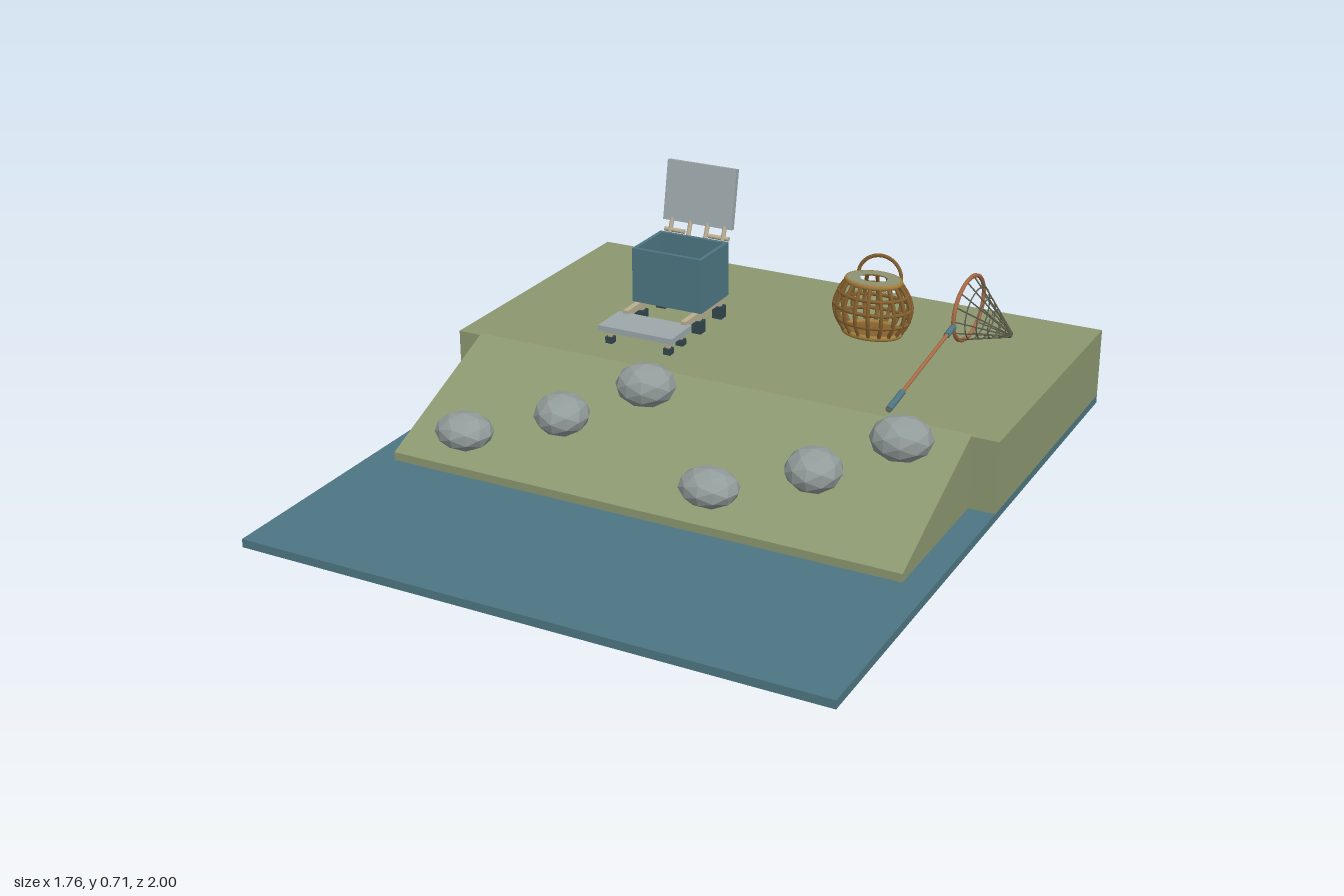
import * as THREE from 'three';

const mat = (name, color, opt = {}) => {
  const m = new THREE.MeshStandardMaterial({ color, ...opt });
  m.name = name;
  return m;
};
const V = (x, y, z) => new THREE.Vector3(x, y, z);

export function createModel() {
  const root = new THREE.Group();
  root.name = 'fishingSpot';
  const blue = mat('water blue', 0x4e7683);
  const grass = mat('grass green', 0x8c9870);
  const stone = mat('stone grey', 0x929c9a, { flatShading: true });
  const pale = mat('pale grey', 0x9da8ab);
  const dark = mat('dark slate', 0x34474e);
  const cream = mat('cream metal', 0xb9ae92);
  const wood = mat('red wood', 0xa86c46);
  const cane = mat('cane brown', 0x86612f);
  const tan = mat('light cane', 0xa5803f);
  const cord = mat('net cord', 0x5c5c4c);

  const add = (parent, name, geo, m, x = 0, y = 0, z = 0) => {
    const mesh = new THREE.Mesh(geo, m);
    mesh.name = name;
    mesh.position.set(x, y, z);
    parent.add(mesh);
    return mesh;
  };
  // box given by its limits
  const box = (parent, name, m, x0, x1, y0, y1, z0, z1) =>
    add(parent, name, new THREE.BoxGeometry(x1 - x0, y1 - y0, z1 - z0), m,
      (x0 + x1) / 2, (y0 + y1) / 2, (z0 + z1) / 2);
  // straight round rod between two points
  const rod = (parent, name, m, a, b, r) => {
    const mesh = add(parent, name, new THREE.CylinderGeometry(r, r, a.distanceTo(b), 10), m);
    mesh.position.copy(a).add(b).multiplyScalar(0.5);
    mesh.quaternion.setFromUnitVectors(V(0, 1, 0), b.clone().sub(a).normalize());
  };
  const tube = (parent, name, m, pts, r, closed = false, seg = 32) =>
    add(parent, name, new THREE.TubeGeometry(
      new THREE.CatmullRomCurve3(pts, closed), seg, r, 6, closed), m);
  const around = (n, f) => Array.from({ length: n }, (_, i) => f(i / n * Math.PI * 2));

  // ground: water sheet, flat bank and sloping shore
  box(root, 'water', blue, -0.88, 0.88, 0, 0.025, -1, 1);
  box(root, 'bank', grass, -0.88, 0.88, 0.025, 0.245, -1, -0.08);
  const profile = new THREE.Shape([[0.08, 0.025], [0.08, 0.252], [-0.4, 0.05], [-0.4, 0.025]]
    .map(p => new THREE.Vector2(...p)));
  const slope = add(root, 'shoreSlope',
    new THREE.ExtrudeGeometry(profile, { depth: 1.6, bevelEnabled: false }), grass, -0.8, 0, 0);
  slope.rotation.y = Math.PI / 2;

  // two matching rows of rocks
  for (const dx of [0, 0.8]) {
    [[-0.615, 0.12, 0.305, 0.09, 0.056, 0.078], [-0.355, 0.18, 0.185, 0.083, 0.063, 0.086],
      [-0.165, 0.248, 0.025, 0.091, 0.066, 0.077]].forEach(([x, y, z, a, b, c], i) => {
      const rock = add(root, 'rock', new THREE.IcosahedronGeometry(1, 1), stone, x + dx, y, z);
      rock.scale.set(a, b, c);
      rock.rotation.y = i * 0.15;
    });
  }

  // seat box: open body on feet
  const seat = new THREE.Group();
  seat.name = 'seatBox';
  root.add(seat);
  const [L, R, B, F] = [-0.44, -0.2, -0.575, -0.39];
  const w = 0.012;
  box(seat, 'boxFloor', blue, L, R, 0.315, 0.33, B, F);
  box(seat, 'boxFront', blue, L, R, 0.33, 0.49, F - w, F);
  box(seat, 'boxBack', blue, L, R, 0.33, 0.49, B, B + w);
  box(seat, 'boxLeft', blue, R - w, R, 0.33, 0.49, B + w, F - w);
  box(seat, 'boxRight', blue, L, L + w, 0.33, 0.49, B + w, F - w);
  for (const x of [-0.42, -0.22]) {
    box(seat, 'footRail', cream, x - 0.009, x + 0.009, 0.295, 0.315, B, -0.31);
    for (const z of [-0.55, -0.41]) {
      box(seat, 'foot', dark, x - 0.016, x + 0.016, 0.245, 0.285, z - 0.016, z + 0.016);
      box(seat, 'footPost', cream, x - 0.008, x + 0.008, 0.28, 0.316, z - 0.008, z + 0.008);
    }
    for (const z of [-0.295, -0.215]) {
      box(seat, 'trayFoot', dark, x - 0.012, x + 0.012, 0.245, 0.265, z - 0.012, z + 0.012);
      box(seat, 'trayPost', cream, x - 0.006, x + 0.006, 0.262, 0.29, z - 0.006, z + 0.006);
    }
  }
  box(seat, 'footTray', pale, -0.45, -0.197, 0.286, 0.304, -0.322, -0.192);

  // raised lid with hinges
  const lid = new THREE.Group();
  lid.name = 'lid';
  lid.position.set(-0.32, 0.522, -0.6);
  lid.rotation.x = -0.18;
  seat.add(lid);
  box(lid, 'lidPanel', pale, -0.12, 0.12, 0, 0.19, -0.01, 0.008);
  box(lid, 'lidBack', dark, -0.11, 0.11, 0.008, 0.182, -0.022, -0.01);
  for (const x of [-0.41, -0.345, -0.285, -0.225]) {
    rod(seat, 'hinge', cream, V(x, 0.48, -0.578), V(x, 0.538, -0.603), 0.007);
  }
  for (const x of [-0.395, -0.24]) {
    rod(seat, 'hingePin', cream, V(x - 0.035, 0.495, -0.586), V(x + 0.035, 0.495, -0.586), 0.007);
  }

  // oval woven basket
  const basket = new THREE.Group();
  basket.name = 'basket';
  basket.position.set(0.26, 0, -0.645);
  basket.scale.z = 0.74;
  root.add(basket);
  const rings = [[0.257, 0.092], [0.297, 0.116], [0.34, 0.123], [0.382, 0.11], [0.42, 0.085]];
  rings.forEach(([y, r], i) => {
    const ring = add(basket, 'basketRing',
      new THREE.TorusGeometry(r, i % 4 ? 0.006 : 0.009, 6, 40), i % 4 ? cane : tan, 0, y, 0);
    ring.rotation.x = Math.PI / 2;
  });
  around(18, a => tube(basket, 'basketRib', cane,
    rings.map(([y, r]) => V(Math.cos(a) * r, y, Math.sin(a) * r)), 0.0065, false, 12));
  add(basket, 'basketFloor', new THREE.CylinderGeometry(0.092, 0.092, 0.008, 32), cane, 0, 0.253, 0);
  const top = add(basket, 'basketLid', new THREE.RingGeometry(0.043, 0.085, 40),
    mat('lid olive', 0x8e9272, { side: THREE.DoubleSide }), 0, 0.428, 0);
  top.rotation.x = -Math.PI / 2;
  const arc = Array.from({ length: 9 }, (_, i) => {
    const a = i / 8 * Math.PI;
    return V(Math.cos(a) * 0.072, 0.415 + Math.sin(a) * 0.067, -0.062 - Math.sin(a) * 0.016);
  });
  tube(basket, 'basketHandle', cane, arc, 0.006);

  // landing net: pole, grip, collar, hoop and mesh bag
  const net = new THREE.Group();
  net.name = 'landingNet';
  root.add(net);
  const p = z => V(0.535, 0.256 + (-0.12 - z) * 0.15, z);
  rod(net, 'pole', wood, p(-0.12), p(-0.6), 0.006);
  rod(net, 'grip', blue, p(-0.12), p(-0.22), 0.01);
  rod(net, 'collar', blue, p(-0.56), p(-0.615), 0.01);
  const loop = (t, a) => {
    const s = 1 - t * 0.93;
    return V(0.535 + 0.13 * t, Math.max(0.249, 0.347 - 0.075 * t + Math.sin(a) * 0.096 * s),
      -0.742 - 0.028 * t + Math.cos(a) * 0.13 * s);
  };
  tube(net, 'hoop', wood, around(24, a => loop(0, a)), 0.007, true, 48);
  const steps = [0, 0.2, 0.4, 0.6, 0.8, 1];
  for (const t of steps.slice(1)) {
    tube(net, 'meshRing', cord, around(16, a => loop(t, a)), 0.0022, true);
  }
  around(14, a => tube(net, 'meshStrand', cord, steps.map(t => loop(t, a)), 0.0022, false, 10));

  return root;
}
